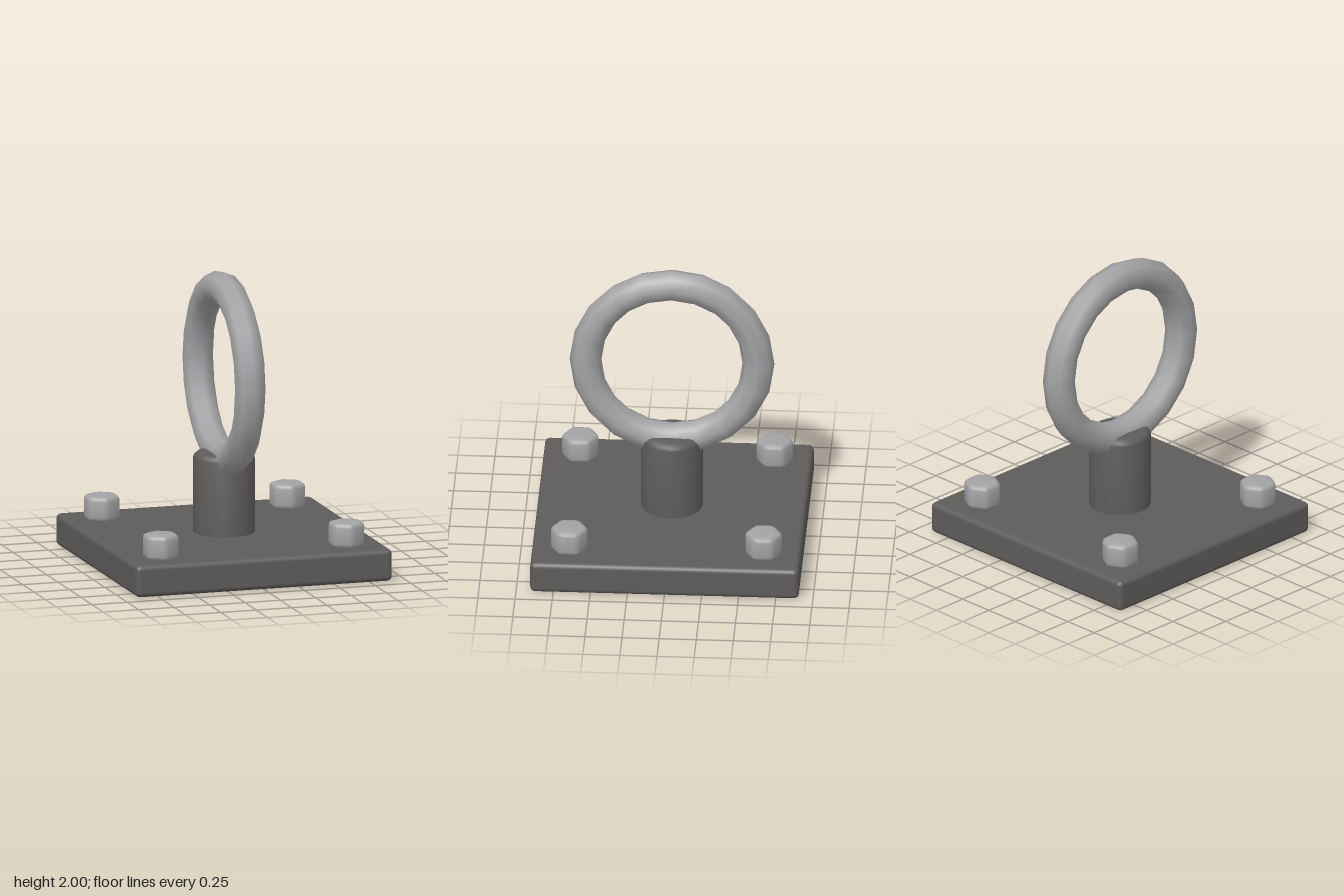
import * as THREE from 'three';
import { toCreasedNormals } from 'three/addons/utils/BufferGeometryUtils.js';
import { RoundedBoxGeometry } from 'three/addons/geometries/RoundedBoxGeometry.js';

const darkIron = new THREE.MeshStandardMaterial({ name: 'dark iron', color: 0x5e5c5a });
const lightSteel = new THREE.MeshStandardMaterial({ name: 'light steel', color: 0xa3a3a6 });

function addPart(group, name, geometry, material, x = 0, y = 0, z = 0) {
  const mesh = new THREE.Mesh(geometry, material);
  mesh.name = name;
  mesh.position.set(x, y, z);
  group.add(mesh);
  return mesh;
}

// Hexagonal bolt head with softened corners and bevelled rims, standing on y = 0
function boltHeadGeometry(radius, height, bevel) {
  const corner = (i) => new THREE.Vector2(Math.sin(i * Math.PI / 3), Math.cos(i * Math.PI / 3)).multiplyScalar(radius - bevel);
  const shape = new THREE.Shape();
  for (let i = 0; i < 6; i++) {
    const c = corner(i);
    const a = c.clone().lerp(corner(i - 1), 0.14);
    const b = c.clone().lerp(corner(i + 1), 0.14);
    if (i === 0) shape.moveTo(a.x, a.y);
    else shape.lineTo(a.x, a.y);
    shape.quadraticCurveTo(c.x, c.y, b.x, b.y);
  }
  shape.closePath();
  const geometry = new THREE.ExtrudeGeometry(shape, {
    depth: height - 2 * bevel, bevelThickness: bevel, bevelSize: bevel, bevelSegments: 3, curveSegments: 2,
  });
  geometry.translate(0, 0, bevel).rotateX(-Math.PI / 2);
  return toCreasedNormals(geometry, 0.7);
}

export function createModel() {
  const model = new THREE.Group();
  model.name = 'ringAnchor';

  // Square base plate with rounded edges
  addPart(model, 'basePlate', new RoundedBoxGeometry(1.81, 0.22, 1.81, 3, 0.035), darkIron, 0, 0.11, 0);

  // Post with a rounded top rim
  const r = 0.209, top = 0.77, bevel = 0.045;
  const profile = [new THREE.Vector2(r, 0.2)];
  for (let i = 0; i <= 3; i++) {
    const a = i * Math.PI / 6;
    profile.push(new THREE.Vector2(r - bevel + bevel * Math.cos(a), top - bevel + bevel * Math.sin(a)));
  }
  profile.push(new THREE.Vector2(0, top));
  addPart(model, 'post', toCreasedNormals(new THREE.LatheGeometry(profile, 16), 0.7), darkIron);

  // Upright ring, its lower arc sunk into the post
  const ring = new THREE.TorusGeometry(0.5825, 0.1075, 8, 20).rotateY(Math.PI / 2);
  addPart(model, 'ring', ring, lightSteel, 0, 1.31, 0);

  // Four corner bolts
  const bolt = boltHeadGeometry(0.125, 0.17, 0.03);
  for (const x of [-0.655, 0.655]) {
    for (const z of [-0.655, 0.655]) addPart(model, 'bolt', bolt, lightSteel, x, 0.21, z);
  }
  return model;
}
